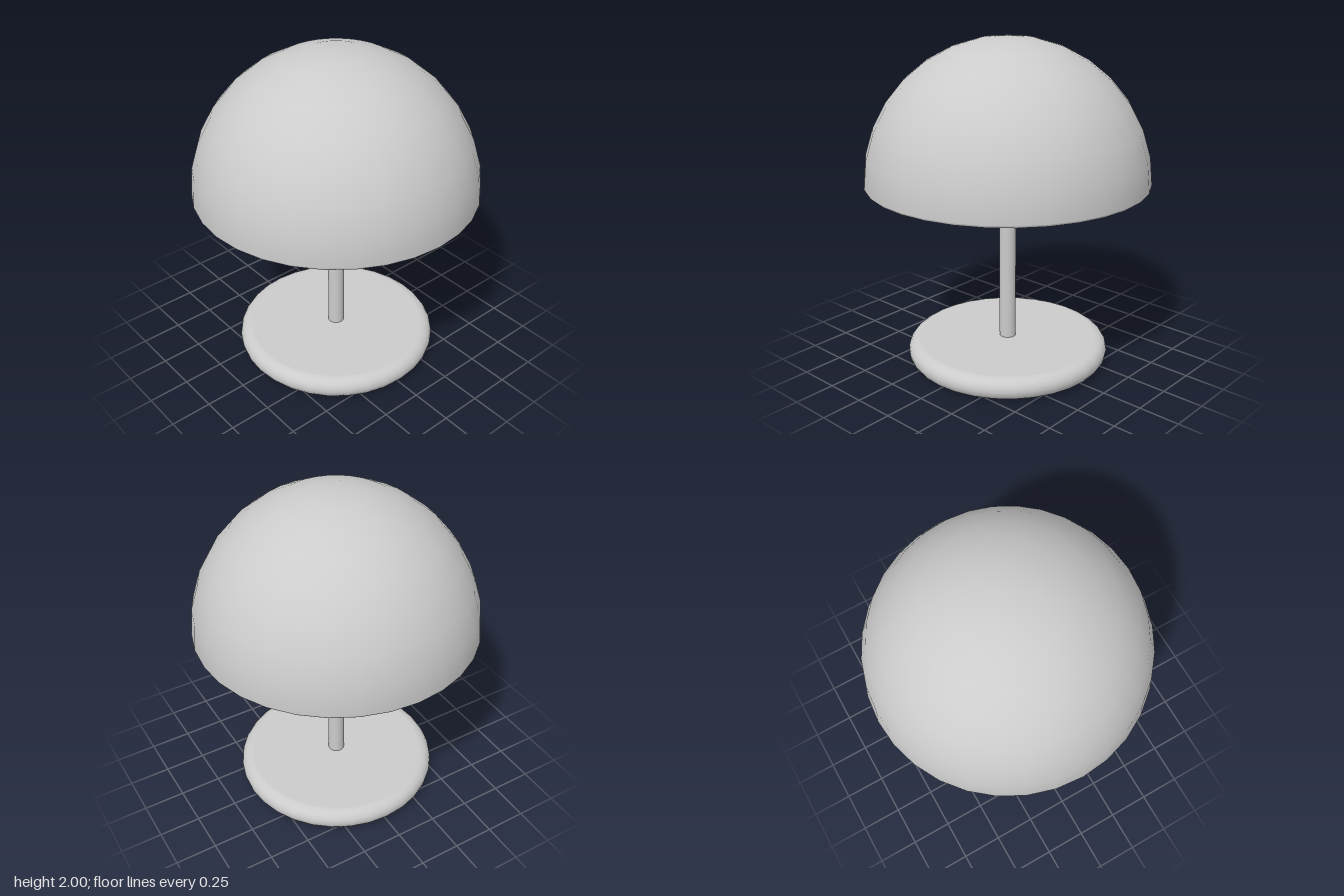
import * as THREE from 'three';

const SEGMENTS = 32;

export function createModel() {
  const group = new THREE.Group();
  const material = new THREE.MeshStandardMaterial({ color: 0xcccccc });

  const add = (name, geometry, y = 0) => {
    const mesh = new THREE.Mesh(geometry, material);
    mesh.name = name;
    mesh.position.y = y;
    group.add(mesh);
  };
  const lathe = (points) =>
    new THREE.LatheGeometry(points.map(([r, y]) => new THREE.Vector2(r, y)), SEGMENTS);

  // Round foot: flat faces with a half-round edge
  const edge = 0.0675, flat = 0.62 - edge;
  const foot = [[0, 0], [flat - 0.005, 0]];
  for (let i = 0; i <= 8; i++) {
    const a = -Math.PI / 2 + (i / 8) * Math.PI;
    foot.push([flat + edge * Math.cos(a), edge + edge * Math.sin(a)]);
  }
  foot.push([flat - 0.005, 2 * edge], [0, 2 * edge]);
  add('base', lathe(foot));

  // Slim stem, running slightly into the base and the shade
  add('stem', new THREE.CylinderGeometry(0.05, 0.05, 1.03, SEGMENTS), 0.635);

  // Hemispherical shade
  const radius = 0.85, rimY = 1.15;
  add('shade', new THREE.SphereGeometry(radius, SEGMENTS, 8, 0, Math.PI * 2, 0, Math.PI / 2), rimY);

  // Closed underside with a small rounded rim
  add('shadeUnderside', lathe([
    [0, 1.135], [0.83, 1.135], [0.835, 1.135], [0.843, 1.138], [0.848, 1.143], [radius, rimY],
  ]));

  return group;
}
